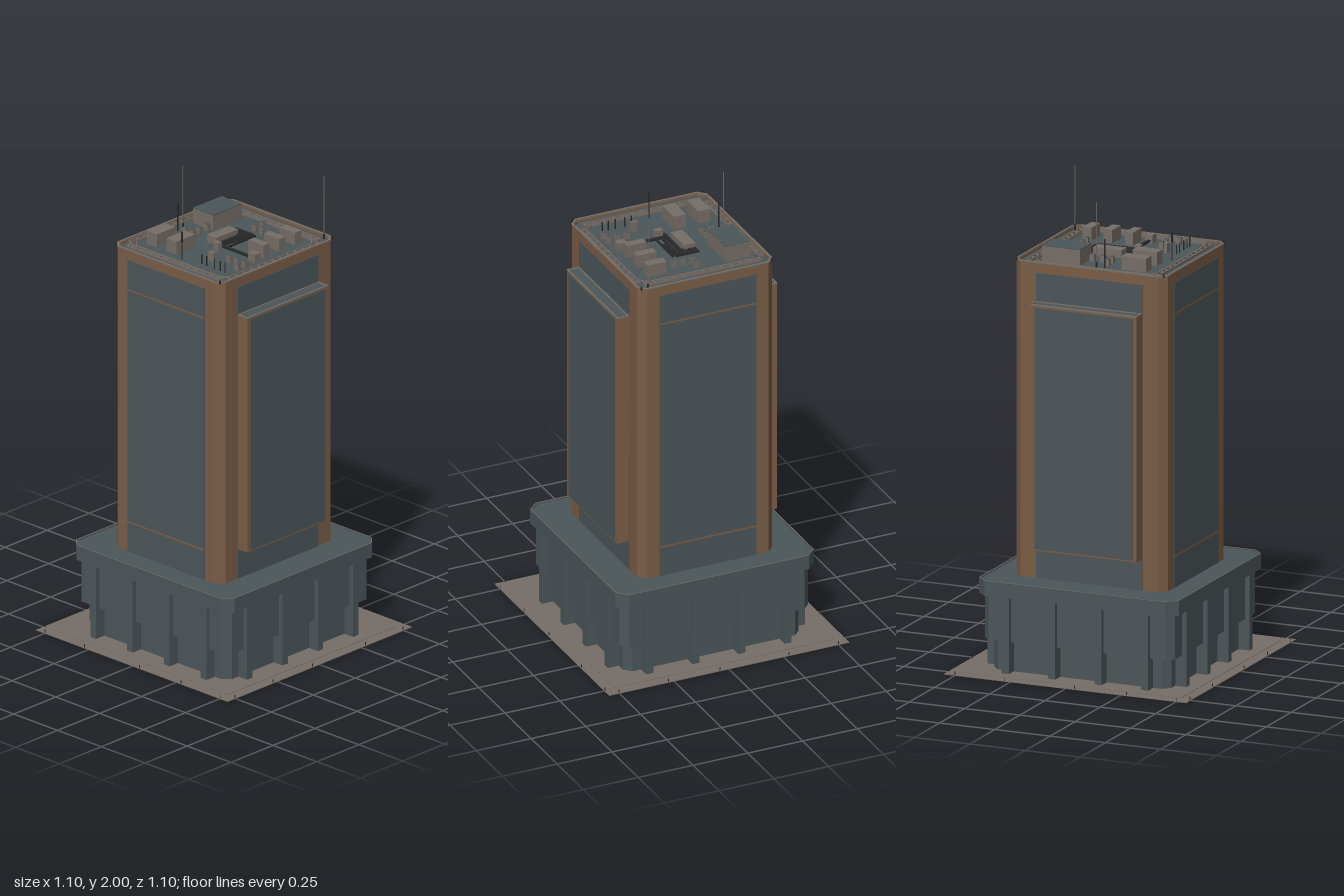
import * as THREE from 'three';

const mat = (name, color) => {
  const m = new THREE.MeshStandardMaterial({ color });
  m.name = name;
  return m;
};

export function createModel() {
  const root = new THREE.Group();
  root.name = 'officeTower';
  const slate = mat('slate', 0x4c565a);
  const copper = mat('copper', 0x7a5d46);
  const taupe = mat('taupe', 0x766d67);
  const dark = mat('darkMetal', 0x2b2a2a);

  const group = (name) => {
    const g = new THREE.Group();
    g.name = name;
    root.add(g);
    return g;
  };
  const add = (parent, name, geo, m) => {
    const mesh = new THREE.Mesh(geo, m);
    mesh.name = name;
    parent.add(mesh);
    return mesh;
  };
  // Box given by its limits on each axis
  const box = (parent, name, m, x0, x1, y0, y1, z0, z1) => {
    const mesh = add(parent, name, new THREE.BoxGeometry(x1 - x0, y1 - y0, z1 - z0), m);
    mesh.position.set((x0 + x1) / 2, (y0 + y1) / 2, (z0 + z1) / 2);
    return mesh;
  };
  // Chamfered rectangle, extruded upwards; an inset makes it a ring
  const outline = (hx, hz, c) => [
    [hx, -hz + c], [hx, hz - c], [hx - c, hz], [-hx + c, hz],
    [-hx, hz - c], [-hx, -hz + c], [-hx + c, -hz], [hx - c, -hz],
  ].map(([x, y]) => new THREE.Vector2(x, y));
  const prism = (parent, name, m, hx, hz, c, y0, y1, inset = 0) => {
    const shape = new THREE.Shape(outline(hx, hz, c));
    if (inset) shape.holes.push(new THREE.Path(outline(hx - inset, hz - inset, Math.max(c - inset * 0.59, 0.0005))));
    const geo = new THREE.ExtrudeGeometry(shape, { depth: y1 - y0, bevelEnabled: false });
    geo.rotateX(-Math.PI / 2).translate(0, y0, 0);
    return add(parent, name, geo, m);
  };
  const mast = (parent, name, m, x, z, r, y0, y1) => {
    const mesh = add(parent, name, new THREE.CylinderGeometry(r, r, y1 - y0, 6), m);
    mesh.position.set(x, (y0 + y1) / 2, z);
  };

  // Paved ground plate with small bollards along the edge
  const plaza = group('plaza');
  box(plaza, 'paving', taupe, -0.548, 0.548, 0, 0.003, -0.548, 0.548);
  box(plaza, 'innerPaving', taupe, -0.5, 0.5, 0.003, 0.005, -0.5, 0.5);
  for (const t of [-0.5, -0.275, 0.04, 0.275, 0.5]) {
    for (const s of [-1, 1]) {
      mast(plaza, 'bollard', dark, t, s * 0.543, 0.002, 0.003, 0.016);
      mast(plaza, 'bollard', dark, s * 0.543, t, 0.002, 0.003, 0.016);
    }
  }

  // Podium: recessed base, wider upper wall, piers and a roof slab
  const podium = group('podium');
  prism(podium, 'lowerWall', slate, 0.4, 0.4, 0.03, 0.005, 0.14);
  prism(podium, 'upperWall', slate, 0.43, 0.43, 0.03, 0.137, 0.33);
  prism(podium, 'roofSlab', slate, 0.452, 0.452, 0.043, 0.328, 0.388);
  prism(podium, 'slabRim', slate, 0.452, 0.452, 0.043, 0.388, 0.392, 0.008);
  prism(podium, 'slabTrim', taupe, 0.452, 0.452, 0.043, 0.392, 0.393, 0.003);
  for (let side = 0; side < 4; side++) {
    const face = new THREE.Group();
    face.name = 'podiumPiers';
    face.rotation.y = side * Math.PI / 2;
    podium.add(face);
    for (const x of [-0.315, -0.105, 0.105, 0.315])
      box(face, 'pier', slate, x - 0.016, x + 0.016, 0.005, 0.33, 0.38, 0.45);
  }

  // Tower shaft with glass faces
  const tower = group('tower');
  prism(tower, 'shaft', copper, 0.308, 0.343, 0.032, 0.388, 1.72);
  prism(tower, 'parapet', copper, 0.308, 0.343, 0.032, 1.72, 1.731, 0.01);
  prism(tower, 'parapetCap', taupe, 0.31, 0.345, 0.032, 1.731, 1.736, 0.009);
  prism(tower, 'roofDeck', slate, 0.299, 0.334, 0.03, 1.719, 1.722);
  for (const s of [-1, 1]) {
    const plateZ = (name, m, hw, y0, y1, z, t) =>
      box(tower, name, m, -hw, hw, y0, y1, s * z - t / 2, s * z + t / 2);
    plateZ('frontGlass', slate, 0.22, 0.388, 1.69, 0.343, 0.004);
    plateZ('glassBand', copper, 0.22, 0.517, 0.525, 0.3445, 0.003);
    plateZ('glassBand', copper, 0.22, 1.553, 1.561, 0.3445, 0.003);

    const sideBox = (name, m, x0, x1, y0, y1, z0, z1) =>
      box(tower, name, m, Math.min(s * x0, s * x1), Math.max(s * x0, s * x1), y0, y1, z0, z1);
    sideBox('sideGlass', slate, 0.306, 0.31, 0.388, 1.69, -0.24, 0.24);
    // Projecting side bay with framed glass and a rimmed roof
    sideBox('bay', copper, 0.3, 0.365, 0.52, 1.564, -0.24, 0.24);
    sideBox('bayGlass', slate, 0.362, 0.3665, 0.527, 1.557, -0.221, 0.221);
    sideBox('bayRoof', slate, 0.312, 0.36, 1.562, 1.566, -0.234, 0.234);
    sideBox('bayRim', taupe, 0.359, 0.366, 1.564, 1.57, -0.241, 0.241);
    sideBox('bayRim', taupe, 0.31, 0.316, 1.564, 1.57, -0.241, 0.241);
    for (const e of [-0.238, 0.238])
      sideBox('bayRim', taupe, 0.31, 0.366, 1.564, 1.57, e - 0.003, e + 0.003);
  }

  // Maintenance track: paired rails with rungs inside the parapet
  const track = group('roofTrack');
  const Y0 = 1.722;
  prism(track, 'innerRail', taupe, 0.272, 0.275, 0.035, Y0, 1.729, 0.003);
  for (const s of [-1, 1]) {
    for (const r of [0.281, 0.301])
      box(track, 'rail', taupe, -0.265, 0.265, Y0, 1.732, s * r - 0.0015, s * r + 0.0015);
    for (const r of [0.274, 0.292])
      box(track, 'rail', taupe, s * r - 0.0015, s * r + 0.0015, Y0, 1.732, -0.262, 0.262);
    for (let i = -6; i <= 6; i++) {
      const t = i * 0.0435;
      box(track, 'rung', taupe, t - 0.003, t + 0.003, Y0, 1.731, s * 0.291 - 0.01, s * 0.291 + 0.01);
      box(track, 'rung', taupe, s * 0.283 - 0.009, s * 0.283 + 0.009, Y0, 1.731, t - 0.003, t + 0.003);
    }
    for (const e of [-1, 1]) mast(track, 'cornerLamp', dark, s * 0.298, e * 0.333, 0.004, 1.73, 1.744);
  }

  // Rooftop plant
  const plant = group('roofPlant');
  box(plant, 'plantRoom', taupe, -0.243, -0.13, Y0, 1.788, -0.243, -0.07);
  box(plant, 'plantRoomRoof', slate, -0.243, -0.13, 1.788, 1.791, -0.24, -0.07);
  const units = [
    [-0.063, -0.01, -0.094, 0.035, 1.755],
    [0.134, 0.222, -0.23, -0.19, 1.777], [0.134, 0.222, -0.135, -0.097, 1.777], [0.134, 0.222, -0.038, -0.003, 1.777],
    [0.193, 0.234, 0.026, 0.059, 1.758], [0.013, 0.046, 0.059, 0.082, 1.76],
    [-0.228, -0.172, 0.109, 0.22, 1.78], [-0.116, -0.06, 0.109, 0.22, 1.78],
    [0.08, 0.11, 0.162, 0.177, 1.765],
  ];
  for (const [x0, x1, z0, z1, top] of units) box(plant, 'coolingUnit', taupe, x0, x1, Y0, top, z0, z1);
  const vents = [
    [0, -0.23], [0, -0.188], [0.04, -0.188], [0.083, -0.188], [-0.148, -0.056], [-0.148, -0.009],
    [-0.148, 0.03], [-0.19, 0.03], [0.15, 0.12], [0.193, 0.12], [0.236, 0.12], [0.236, 0.162],
  ];
  for (const [x, z] of vents) {
    box(plant, 'vent', taupe, x - 0.01, x + 0.01, Y0, 1.75, z - 0.01, z + 0.01);
    box(plant, 'ventCap', slate, x - 0.008, x + 0.008, 1.749, 1.752, z - 0.008, z + 0.008);
  }
  for (const x of [0.082, 0.112, 0.155, 0.187, 0.215]) mast(plant, 'ventPost', dark, x, 0.218, 0.003, Y0, 1.765);

  // Pipe runs as straight segments between corners
  const pipes = [
    [[-0.057, -0.09], [-0.057, -0.129], [0.04, -0.129], [0.04, -0.02], [0.055, -0.02]],
    [[-0.045, -0.09], [-0.045, -0.117], [0.028, -0.117], [0.028, 0.04], [0.195, 0.04]],
    [[-0.033, -0.09], [-0.033, -0.105], [0.012, -0.105], [0.012, 0.046], [0.195, 0.046]],
    [[-0.012, -0.09], [0.002, -0.09], [0.002, 0.066], [0.015, 0.066]],
    [[0.055, -0.124], [0.055, 0.028]],
  ];
  const r = 0.004;
  for (const path of pipes) {
    for (let i = 1; i < path.length; i++) {
      const [ax, az] = path[i - 1], [bx, bz] = path[i];
      box(plant, 'pipe', dark, Math.min(ax, bx) - r, Math.max(ax, bx) + r, 1.73, 1.738,
        Math.min(az, bz) - r, Math.max(az, bz) + r);
    }
  }

  // Masts
  const masts = group('masts');
  for (const [x, z] of [[-0.235, 0], [0.262, -0.322]]) {
    mast(masts, 'tallMast', taupe, x, z, 0.0018, Y0, 2);
    mast(masts, 'mastFoot', dark, x, z, 0.004, Y0, 1.745);
  }
  for (const [x, z] of [[-0.23, 0.035], [-0.01, 0.24]]) {
    mast(masts, 'shortMast', dark, x, z, 0.0025, Y0, 1.82);
    mast(masts, 'antenna', dark, x, z, 0.004, 1.8, 1.845);
  }
  return root;
}
